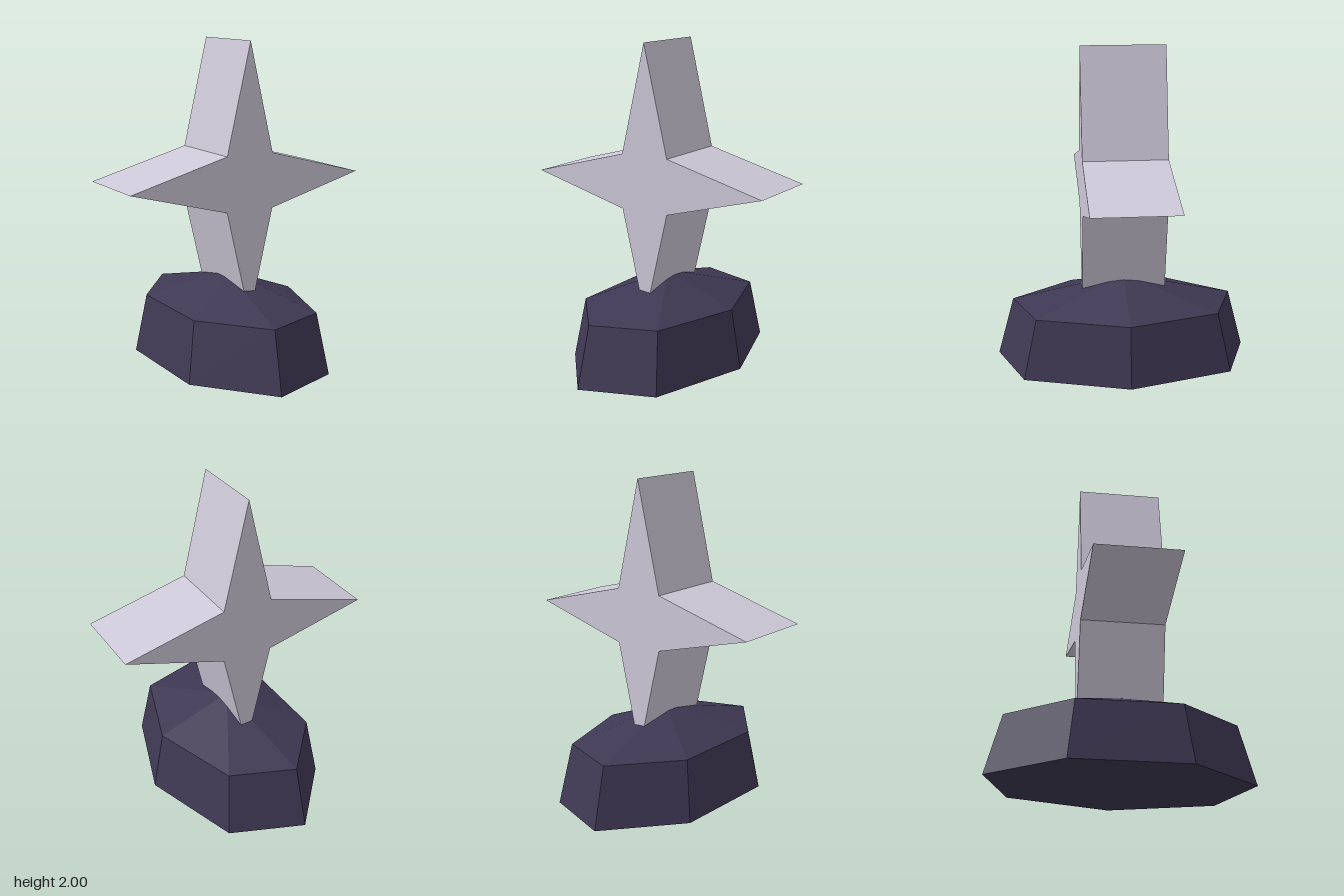
import * as THREE from 'three';

export function createModel() {
  const model = new THREE.Group();
  model.name = 'starOnStone';

  const paleLilac = new THREE.MeshStandardMaterial({ color: 0xcdc8d8, flatShading: true });
  paleLilac.name = 'pale lilac';
  const darkPurple = new THREE.MeshStandardMaterial({ color: 0x3f3854, flatShading: true });
  darkPurple.name = 'dark purple';

  const add = (name, geometry, material) => {
    const mesh = new THREE.Mesh(geometry, material);
    mesh.name = name;
    model.add(mesh);
  };

  // Seven-sided stone, stretched front to back, with a low pointed cap
  const radiusX = 0.532, radiusZ = 0.82, taper = 0.875;
  const wallHeight = 0.373, capHeight = 0.177;
  const stonePart = (topRadius, bottomRadius, height, y, open) =>
    new THREE.CylinderGeometry(topRadius, bottomRadius, height, 7, 1, open, Math.PI / 2)
      .scale(radiusX, 1, radiusZ)
      .translate(0, y + height / 2, 0);
  add('stoneBase', stonePart(taper, 1, wallHeight, 0, false), darkPurple);
  add('stoneCap', stonePart(0, taper, capHeight, wallHeight, true), darkPurple);

  // Four-pointed star, its lowest point sunk into the stone
  const centreY = 1.155, tipX = 0.797, tipY = 0.845, notchX = 0.16, notchY = 0.17, depth = 0.524;
  const outline = [
    [0, tipY], [-notchX, notchY], [-tipX, 0], [-notchX, -notchY],
    [0, -tipY], [notchX, -notchY], [tipX, 0], [notchX, notchY],
  ].map(([x, y]) => new THREE.Vector2(x, y));
  const star = new THREE.ExtrudeGeometry(new THREE.Shape(outline), { depth, bevelEnabled: false });
  add('star', star.translate(0, centreY, -depth / 2), paleLilac);

  return model;
}
